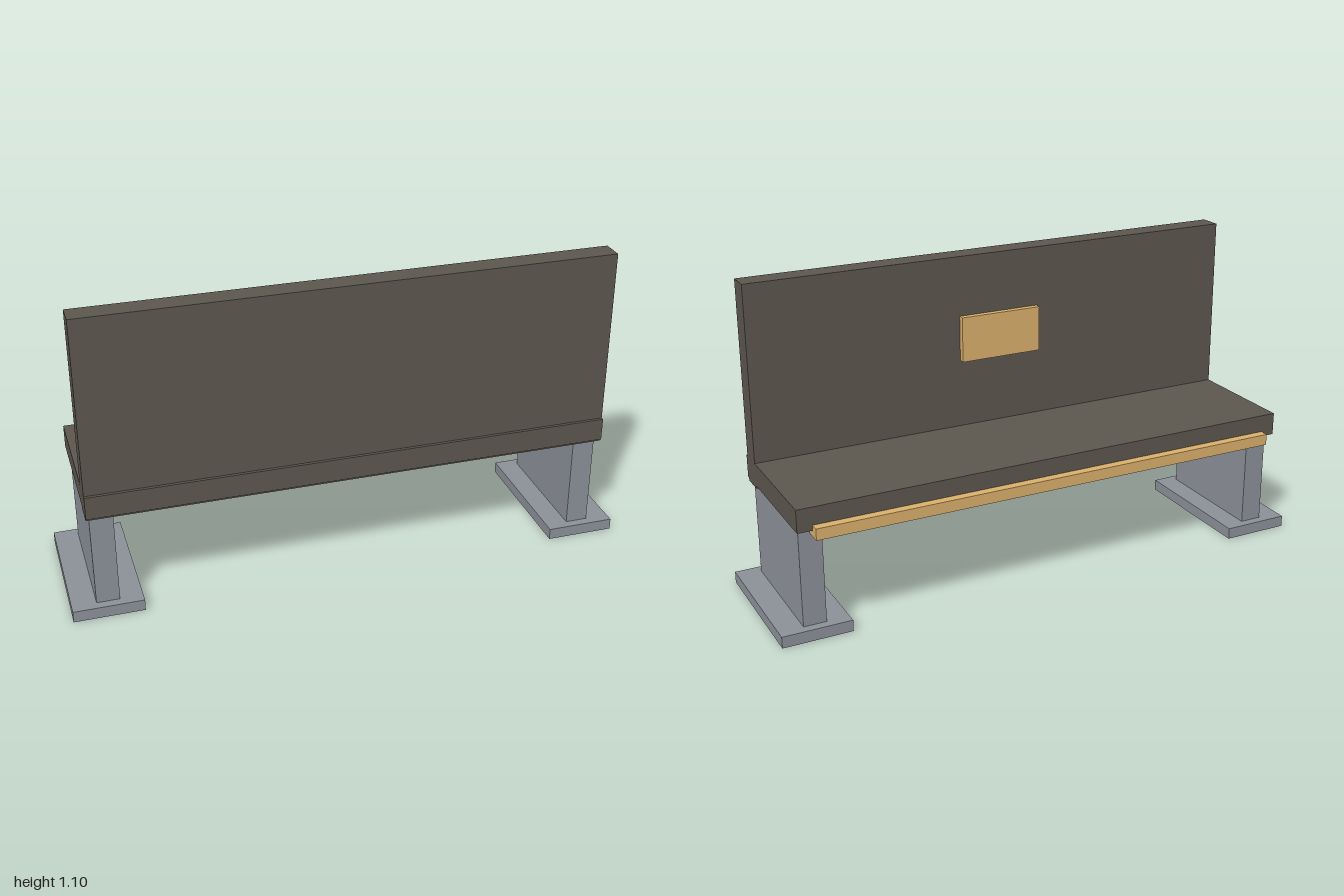
import * as THREE from 'three';

const upholstery = new THREE.MeshStandardMaterial({ color: 0x5c564e });
const metal = new THREE.MeshStandardMaterial({ color: 0x8c9199 });
const wood = new THREE.MeshStandardMaterial({ color: 0xdbb06c });

// Box given by its extents along each axis
function block(name, material, [x0, x1], [y0, y1], [z0, z1]) {
  const mesh = new THREE.Mesh(new THREE.BoxGeometry(x1 - x0, y1 - y0, z1 - z0), material);
  mesh.position.set((x0 + x1) / 2, (y0 + y1) / 2, (z0 + z1) / 2);
  mesh.name = name;
  return mesh;
}

export function createModel() {
  const bench = new THREE.Group();
  bench.name = 'bench';

  // Seat slab and upright backrest
  bench.add(
    block('seat', upholstery, [-0.927, 0.927], [0.394, 0.476], [-0.242, 0.274]),
    block('backrest', upholstery, [-0.927, 0.927], [0.383, 1.104], [0.182, 0.263])
  );

  // Trim rail under the seat edge and plaque on the backrest
  bench.add(
    block('seatTrim', wood, [-0.875, 0.875], [0.372, 0.413], [-0.274, -0.21]),
    block('backrestPlaque', wood, [-0.153, 0.153], [0.724, 0.888], [0.16, 0.182])
  );

  // Panel legs on flat feet, one per side
  for (const [side, s] of [['left', 1], ['right', -1]]) {
    const support = new THREE.Group();
    support.name = side + 'Support';
    const span = (a, b) => (s > 0 ? [a, b] : [-b, -a]);
    support.add(
      block(side + 'Leg', metal, span(0.834, 0.915), [0.041, 0.394], [-0.21, 0.242]),
      block(side + 'Foot', metal, span(0.754, 1), [0, 0.041], [-0.242, 0.274])
    );
    bench.add(support);
  }

  return bench;
}
